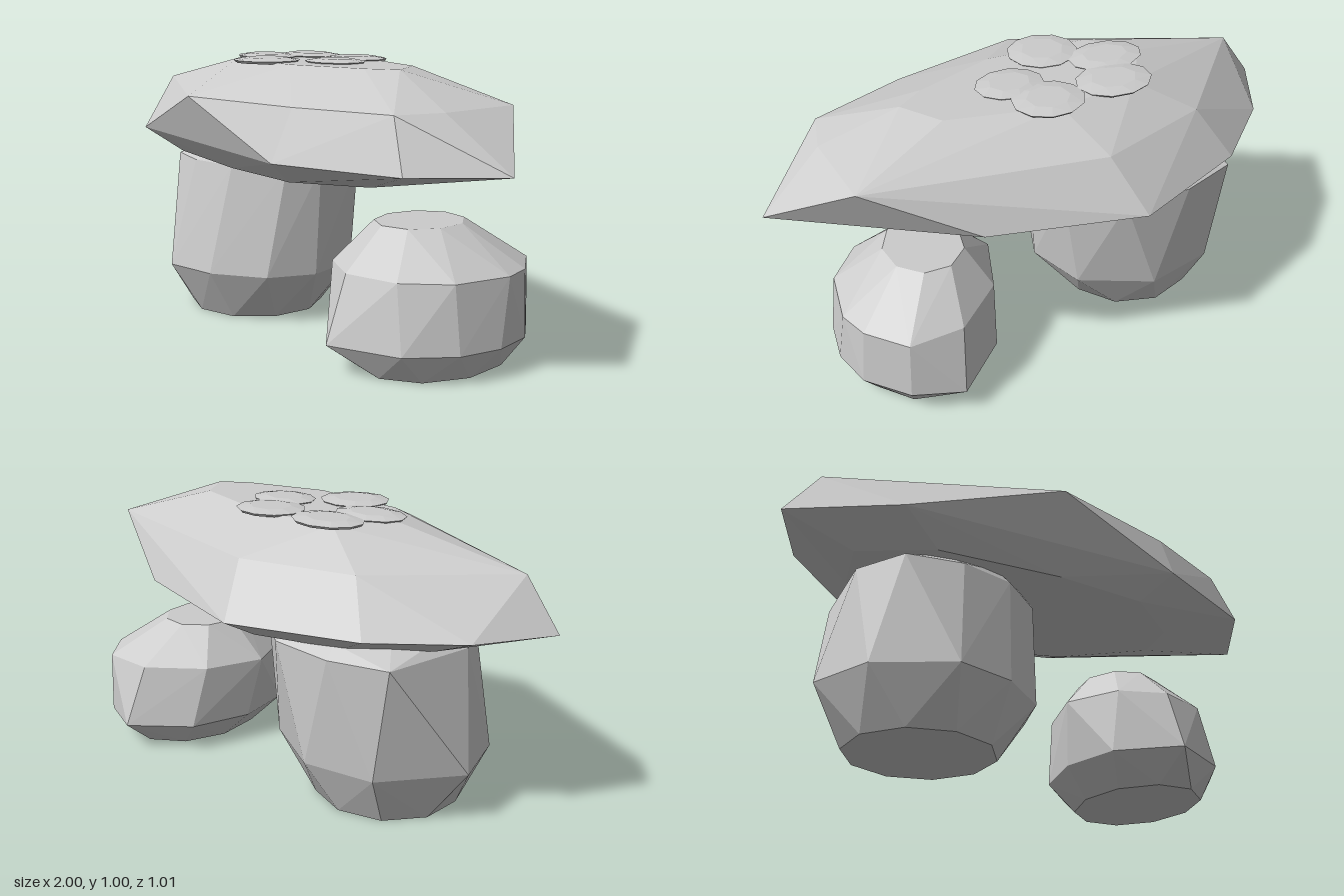
import * as THREE from 'three';
import { ConvexGeometry } from 'three/addons/geometries/ConvexGeometry.js';

const material = new THREE.MeshStandardMaterial({ color: 0xcccccc, flatShading: true });

// A faceted stone: the hull of a few level outlines, each [height, [x, z], ...]
function stone(name, layers) {
  const points = layers.flatMap(([y, ...outline]) =>
    outline.map(([x, z]) => new THREE.Vector3(x, y, z)));
  const mesh = new THREE.Mesh(new ConvexGeometry(points), material);
  mesh.name = name;
  return mesh;
}

// Level outline with a given centre and half sizes, as a polygon
function ring(y, x, z, rx, rz, sides, turn = 0) {
  const outline = [];
  for (let i = 0; i < sides; i++) {
    const a = turn + (i / sides) * Math.PI * 2;
    outline.push([x + Math.cos(a) * rx, z + Math.sin(a) * rz]);
  }
  return [y, ...outline];
}

export function createModel() {
  const group = new THREE.Group();
  group.name = 'stoneTable';

  // Wide table slab
  group.add(stone('slab', [
    [0.622, [-0.74, 0.17], [-0.5, 0.32], [-0.05, 0.37], [0.3, 0.36], [0.53, 0.2],
      [0.57, 0.03], [0.3, -0.2], [-0.15, -0.36], [-0.45, -0.25], [-0.68, -0.05]],
    [0.704, [-1, 0.17], [-0.66, 0.4], [0.37, 0.475], [0.81, 0.3], [1, 0.03],
      [0.37, -0.38], [-0.17, -0.51], [-0.61, -0.33], [-0.86, -0.1]],
    [0.88, [-0.87, 0.16], [-0.11, 0.505], [0.38, 0.4], [0.73, 0.27], [0.77, 0.1],
      [0.74, -0.22], [-0.09, -0.37], [-0.5, -0.24]],
    [0.99, [-0.28, 0.2], [0.1, 0.22], [0.39, 0.12], [0.49, 0.05], [0.39, -0.09],
      [0, -0.18], [-0.3, -0.14], [-0.42, 0.05]],
  ]));

  // Tall stone carrying the slab
  group.add(stone('supportStone', [
    ring(0, -0.41, 0.045, 0.265, 0.26, 10, 0.3),
    [0.19, [-0.45, 0.41], [-0.24, 0.36], [-0.06, 0.22], [0, 0.04], [-0.08, -0.18],
      [-0.34, -0.31], [-0.6, -0.25], [-0.79, 0.02], [-0.7, 0.26]],
    [0.6, [-0.7, 0.1], [-0.6, 0.28], [-0.4, 0.32], [-0.2, 0.28], [-0.03, 0.15],
      [0.02, 0.03], [-0.02, -0.17], [-0.2, -0.31], [-0.45, -0.32], [-0.66, -0.25]],
    ring(0.64, -0.34, 0, 0.31, 0.28, 10),
  ]));

  // Small loose stone beside it
  group.add(stone('smallStone', [
    ring(0, 0.555, -0.06, 0.215, 0.28, 10, 0.1),
    [0.105, [0.48, 0.34], [0.72, 0.22], [0.82, 0.06], [0.84, -0.1], [0.8, -0.25],
      [0.67, -0.39], [0.49, -0.455], [0.3, -0.28], [0.24, -0.05], [0.29, 0.17]],
    [0.335, [0.31, 0.19], [0.48, 0.26], [0.67, 0.2], [0.79, 0.06], [0.82, -0.15],
      [0.78, -0.26], [0.66, -0.39], [0.46, -0.38], [0.28, -0.22], [0.21, 0]],
    ring(0.475, 0.48, -0.055, 0.145, 0.165, 9, 0.2),
  ]));

  // Five thin pebbles set in a flower pattern on top
  const pebbles = [[-0.24, -0.1, 0.14, 0.11], [0.02, -0.12, 0.13, 0.115],
    [-0.29, 0.06, 0.14, 0.1], [0.1, 0.025, 0.125, 0.1], [-0.1, 0.185, 0.13, 0.12]];
  pebbles.forEach(([x, z, rx, rz], i) => group.add(stone('topPebble' + (i + 1), [
    ring(0.985, x, z, rx * 0.93, rz * 0.93, 11, i),
    ring(0.994, x, z, rx, rz, 11, i),
    ring(1.003, x, z, rx * 0.6, rz * 0.6, 8, i),
  ])));

  return group;
}
